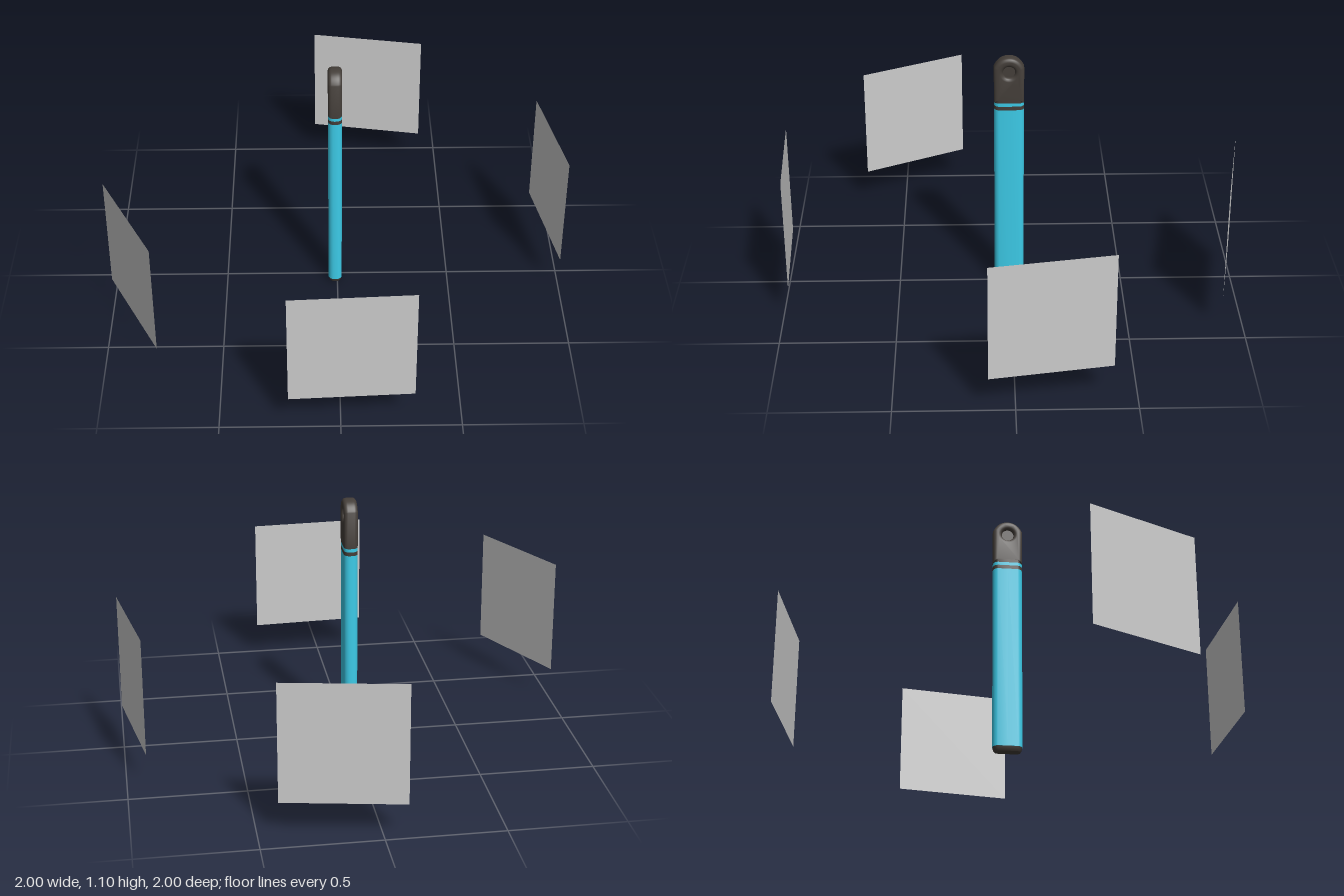
import * as THREE from 'three';
import { toCreasedNormals } from 'three/addons/utils/BufferGeometryUtils.js';

const CX = -0.01, CZ = 0.006;      // centre of the stick
const HX = 0.03, HZ = 0.065, RAD = 0.026; // half width, half depth, corner radius

const blue = new THREE.MeshStandardMaterial({ color: 0x3ccbe8 });
const dark = new THREE.MeshStandardMaterial({ color: 0x443e39 });
const grey = new THREE.MeshStandardMaterial({ color: 0xcccccc, side: THREE.DoubleSide });

// creases are found at an enlarged scale so small details stay distinct
function crease(geometry, angle = 0.6) {
  geometry.scale(100, 100, 100);
  return toCreasedNormals(geometry, angle).scale(0.01, 0.01, 0.01);
}

// stack of rounded-rectangle sections; each entry is [inset factor, y]
function section(name, profile, material) {
  const points = profile.map(([r, y]) => new THREE.Vector2(r * RAD, y));
  const geometry = new THREE.LatheGeometry(points, 32);
  const p = geometry.attributes.position;
  const side = v => (Math.abs(v) < 1e-8 ? 0 : Math.sign(v));
  for (let i = 0; i < p.count; i++) {
    const x = p.getX(i), z = p.getZ(i);
    p.setX(i, x + side(x) * (HX - RAD));
    p.setZ(i, z + side(z) * (HZ - RAD));
  }
  const mesh = new THREE.Mesh(crease(geometry), material);
  mesh.name = name;
  return mesh;
}

// arched head with a round dished opening, closed by a thin web
function makeHead() {
  const bevel = 0.016, w = HZ - bevel, holeY = 1.042;
  const shape = new THREE.Shape();
  shape.moveTo(-w, 0.916);
  shape.lineTo(w, 0.916);
  shape.lineTo(w, 1.058);
  shape.quadraticCurveTo(0.032, 1.092, 0, 1.092);
  shape.quadraticCurveTo(-0.032, 1.092, -w, 1.058);
  shape.closePath();
  const hole = new THREE.Path();
  hole.absarc(0, holeY, 0.042, 0, Math.PI * 2, true);
  shape.holes.push(hole);
  const depth = 2 * (HX - bevel);
  const geometry = new THREE.ExtrudeGeometry(shape, {
    depth, bevelSize: bevel, bevelThickness: bevel, bevelSegments: 4, curveSegments: 24,
  });
  geometry.translate(0, 0, -depth / 2).rotateY(Math.PI / 2);

  const head = new THREE.Group();
  head.name = 'head';
  const shell = new THREE.Mesh(crease(geometry), dark);
  shell.name = 'headShell';
  const web = new THREE.Mesh(new THREE.CylinderGeometry(0.032, 0.032, 0.03, 32), dark);
  web.name = 'recessWeb';
  web.rotation.z = Math.PI / 2;
  web.position.y = holeY;
  head.add(shell, web);
  return head;
}

export function createModel() {
  const model = new THREE.Group();
  model.name = 'stickWithPanels';

  // upright stick
  const stick = new THREE.Group();
  stick.name = 'stick';
  stick.position.set(CX, 0, CZ);
  stick.add(
    section('foot', [[0, 0.004], [0.65, 0.004], [0.85, 0.012], [0.96, 0.025], [0, 0.025]], dark),
    section('body', [[0, 0.024], [1, 0.024], [1, 0.868], [0, 0.868]], blue),
    section('lowerBand', [[0, 0.868], [1, 0.868], [1, 0.885], [0, 0.885]], dark),
    section('upperBand', [[0, 0.885], [1, 0.885], [1, 0.9], [0, 0.9]], blue),
    section('neck', [[0, 0.9], [1, 0.9], [1, 0.94], [0, 0.94]], dark),
    makeHead(),
  );
  model.add(stick);

  // four thin panels standing around the stick: [x, z, angle about y]
  const panels = [
    ['frontPanel', 0.045, 0.985, 0.05],
    ['leftPanel', 0.957, -0.146, 1.735],
    ['backPanel', 0.16, -0.953, Math.PI - 0.18],
    ['rightPanel', -0.884, 0.45, -1.11],
  ];
  for (const [name, x, z, angle] of panels) {
    const panel = new THREE.Mesh(new THREE.PlaneGeometry(0.52, 0.52), grey);
    panel.name = name;
    panel.position.set(x, 0.415, z);
    panel.rotation.y = angle;
    model.add(panel);
  }
  return model;
}
